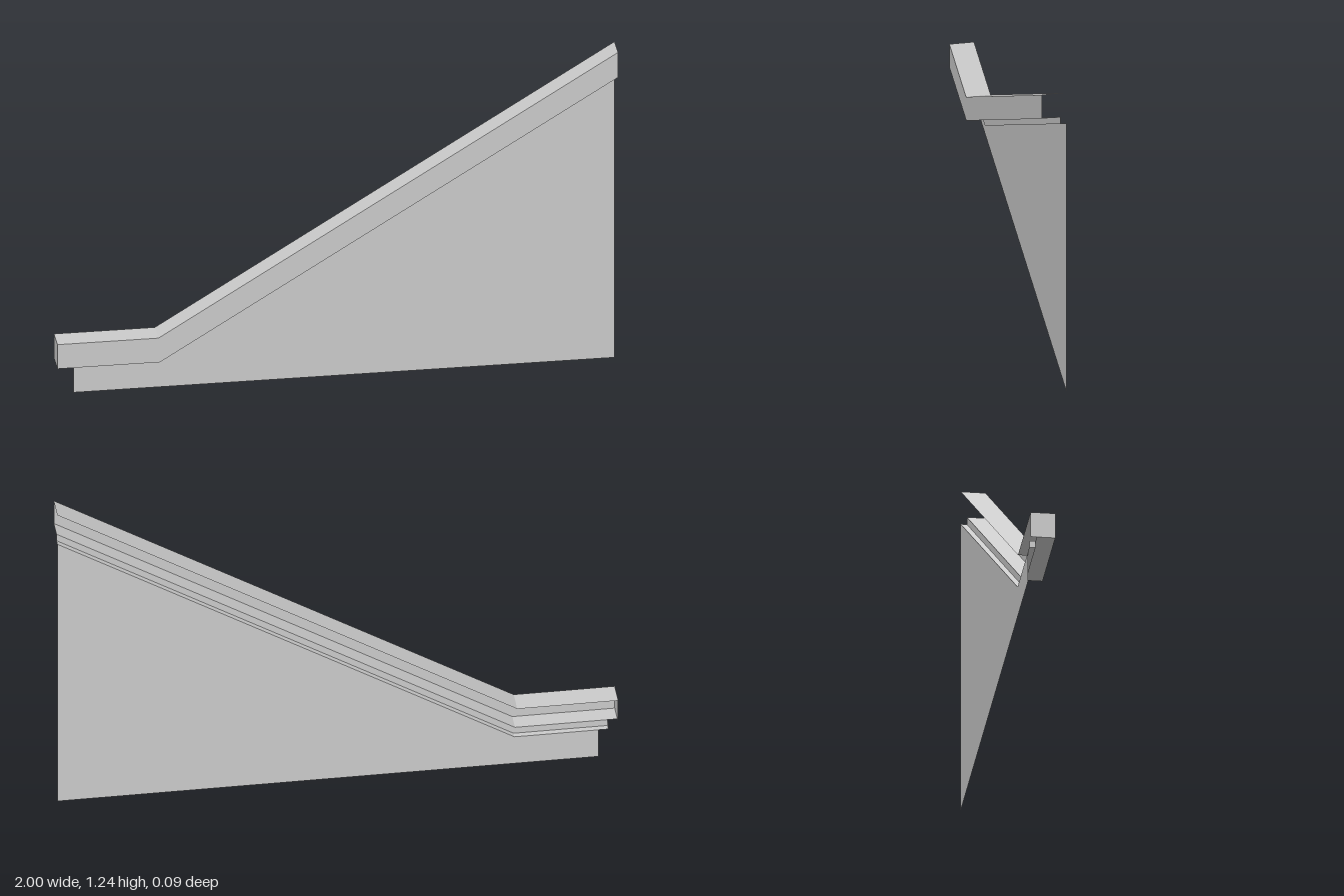
import * as THREE from 'three';

const FRONT = 0.044, STEP = -0.022, BACK = -0.044, END = 1, SLOPE = 0.613;

// Three-point run along the rail: level start, knee, sloped end
const run = (x0, kneeX, y, z) => [
  [x0, y, z], [kneeX, y, z], [END, y + SLOPE * (END - kneeX), z],
];

export function createModel() {
  const group = new THREE.Group();
  const material = new THREE.MeshStandardMaterial({
    color: 0xcccccc, side: THREE.DoubleSide, flatShading: true,
  });

  const add = (name, geometry) => {
    const mesh = new THREE.Mesh(geometry, material);
    mesh.name = name;
    group.add(mesh);
    return mesh;
  };

  // Thin sheet stretched between two matching paths
  const sheet = (name, a, b) => {
    const p = [];
    for (let i = 0; i < a.length - 1; i++) {
      p.push(...a[i], ...b[i], ...b[i + 1], ...a[i], ...b[i + 1], ...a[i + 1]);
    }
    const g = new THREE.BufferGeometry();
    g.setAttribute('position', new THREE.Float32BufferAttribute(p, 3));
    g.computeVertexNormals();
    return add(name, g);
  };

  const top = (z) => run(-1, -0.64, 0.235, z);
  const lip = (z) => run(-1, -0.635, 0.14, z);
  const stepTop = (z) => run(-0.965, -0.635, 0.14, z);
  const ledge = (z) => run(-0.965, -0.63, 0.115, z);

  // Rail channel, open at the back and at its upper end
  sheet('railTop', top(BACK), top(FRONT));
  sheet('railFront', top(FRONT), lip(FRONT));
  sheet('railUnderside', lip(FRONT), lip(STEP));
  sheet('railEnd', [[-1, 0.235, BACK], [-1, 0.235, FRONT]], [[-1, 0.14, BACK], [-1, 0.14, FRONT]]);

  // Small step under the rail
  sheet('stepFront', stepTop(STEP), ledge(STEP));
  sheet('stepUnderside', ledge(STEP), ledge(BACK));
  sheet('stepEnd', [[-0.965, 0.14, BACK], [-0.965, 0.14, STEP]],
    [[-0.965, 0.115, BACK], [-0.965, 0.115, STEP]]);

  // Side wall below the step
  const wallTop = run(-0.93, -0.63, 0.115, BACK);
  const outline = [[-0.93, 0], [END, 0], ...wallTop.reverse()];
  const shape = new THREE.Shape(outline.map(([x, y]) => new THREE.Vector2(x, y)));
  add('sideWall', new THREE.ShapeGeometry(shape)).position.z = BACK;

  return group;
}
